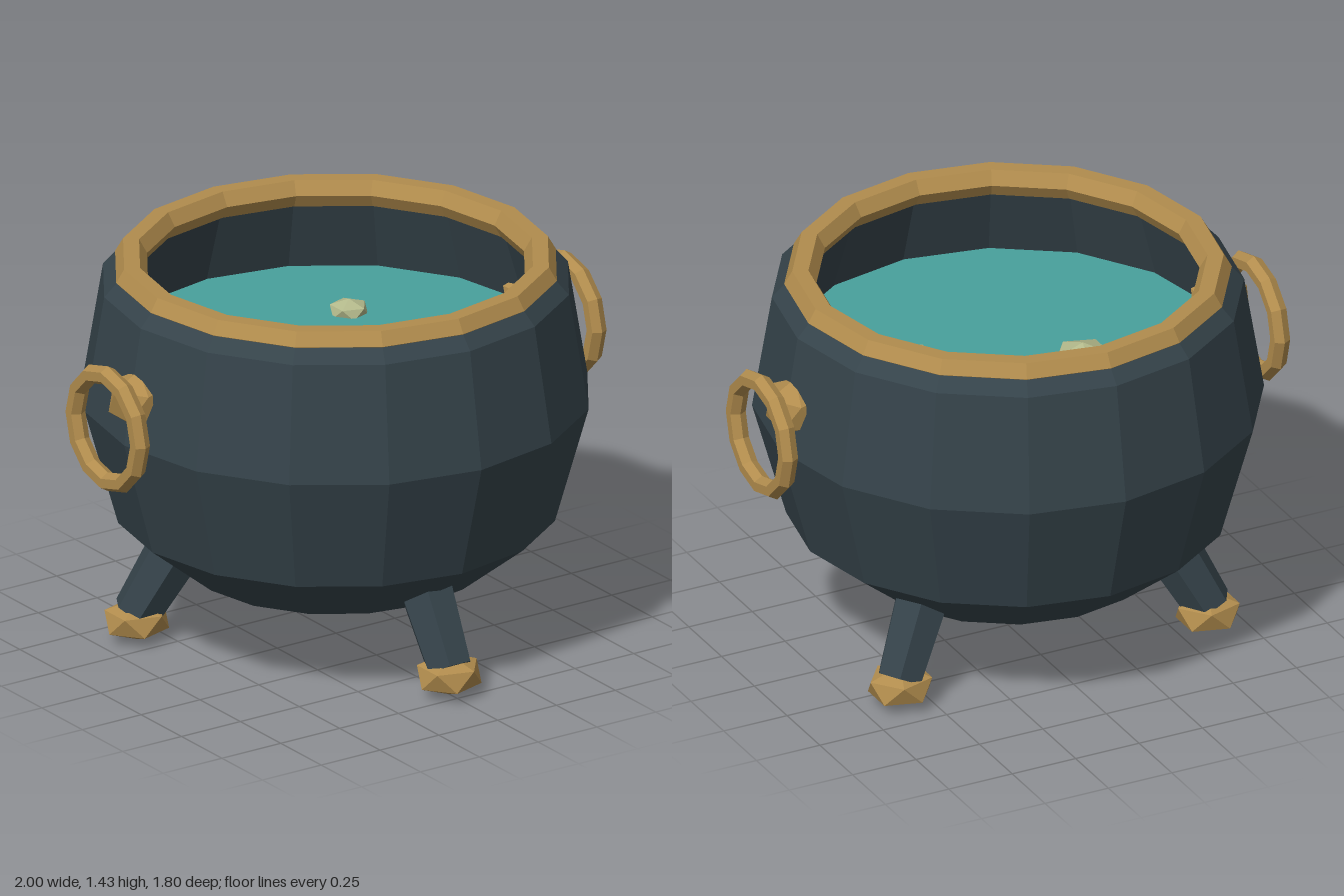
import * as THREE from 'three';

const SIDES = 16;

function material(name, color) {
  const m = new THREE.MeshStandardMaterial({ color, flatShading: true, side: THREE.DoubleSide });
  m.name = name;
  return m;
}

// Icosahedron standing on one corner, stretched to the given half sizes
function nugget(rx, ry, rz) {
  const g = new THREE.IcosahedronGeometry(1, 0);
  g.rotateX(-Math.atan((1 + Math.sqrt(5)) / 2));
  g.rotateY(Math.PI / 2);
  g.scale(rx, ry, rz);
  return g;
}

export function createModel() {
  const group = new THREE.Group();
  group.name = 'cauldron';

  const iron = material('dark iron', 0x35434a);
  const brass = material('brass', 0xb18c4d);
  const brew = material('teal brew', 0x48a09c);
  const froth = material('pale froth', 0xb3b98b);

  function add(name, geometry, mat, x = 0, y = 0, z = 0, parent = group) {
    const mesh = new THREE.Mesh(geometry, mat);
    mesh.name = name;
    mesh.position.set(x, y, z);
    parent.add(mesh);
    return mesh;
  }

  // Pot wall: outside from the base up, then over the lip and down to the brew
  const profile = [
    [0, 0.28], [0.53, 0.28], [0.78, 0.48], [0.9, 0.91], [0.83, 1.335],
    [0.78, 1.39], [0.7, 1.39], [0.8, 1.07],
  ].map(([r, y]) => new THREE.Vector2(r, y));
  add('pot', new THREE.LatheGeometry(profile, SIDES), iron);

  // Rim band
  const rim = new THREE.TorusGeometry(0.73, 0.057, 6, SIDES);
  rim.rotateX(Math.PI / 2);
  add('rim', rim, brass, 0, 1.385, 0);

  // Brew and bubbles
  const surface = new THREE.CircleGeometry(0.795, SIDES);
  surface.rotateX(-Math.PI / 2);
  add('brew', surface, brew, 0, 1.075, 0);
  for (const [x, z, r] of [[-0.21, -0.165, 0.11], [0.23, -0.255, 0.075], [0.3, 0.125, 0.06]]) {
    add('bubble', nugget(r, r * 0.55, r), froth, x, 1.085, z);
  }

  // Handles: a ring hanging from a boss on each side
  for (const side of [1, -1]) {
    const handle = new THREE.Group();
    handle.name = side > 0 ? 'leftHandle' : 'rightHandle';
    const ring = new THREE.TorusGeometry(0.2, 0.035, 6, 12);
    ring.rotateY(Math.PI / 2);
    add('handleRing', ring, brass, side * 0.97, 0.99, 0, handle);
    const boss = add('handleBoss', nugget(0.115, 0.11, 0.125), brass, side * 0.838, 1.07, 0, handle);
    if (side < 0) boss.rotation.y = Math.PI;
    group.add(handle);
  }

  // Three splayed legs with brass feet
  const tilt = Math.PI / 6;
  for (let i = 0; i < 3; i++) {
    const angle = (i * Math.PI * 2) / 3;
    const leg = new THREE.CylinderGeometry(0.108, 0.087, 0.37, 6);
    leg.rotateY(Math.PI / 6);
    leg.rotateX(-tilt);
    leg.translate(0, 0.26, 0.61);
    leg.rotateY(angle);
    add('leg', leg, iron);
    add('foot', nugget(0.13, 0.076, 0.12), brass,
      Math.sin(angle) * 0.7, 0.076, Math.cos(angle) * 0.7);
  }

  return group;
}
